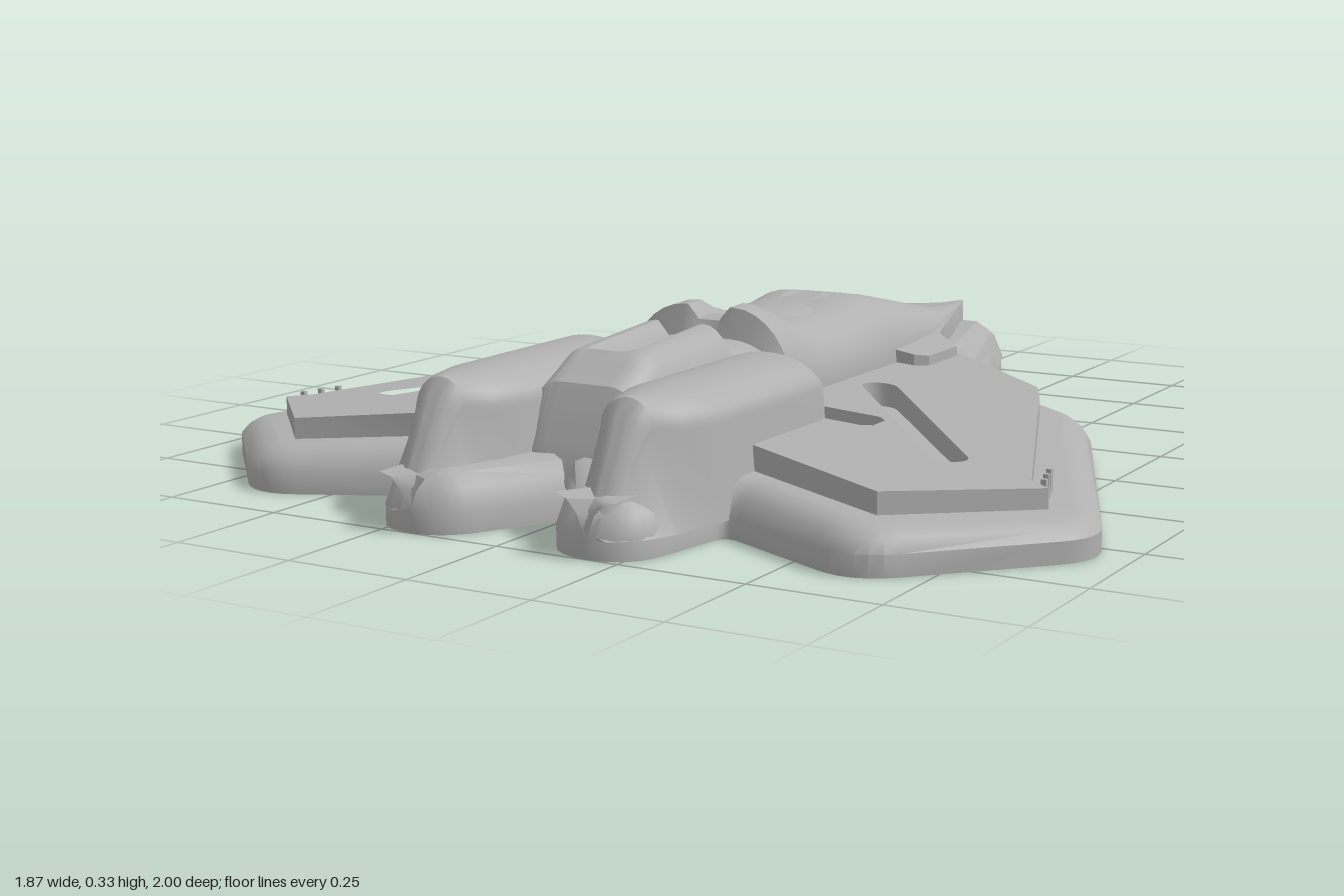
import * as THREE from 'three';
import { toCreasedNormals } from 'three/addons/utils/BufferGeometryUtils.js';

const hull = new THREE.MeshStandardMaterial({ color: 0xb0b0b0 });
hull.name = 'hull grey';

function addMesh(parent, name, geometry, crease = 0.6) {
  const mesh = new THREE.Mesh(toCreasedNormals(geometry, crease), hull);
  mesh.name = name;
  parent.add(mesh);
  return mesh;
}

function fromTriangles(points) {
  const g = new THREE.BufferGeometry();
  g.setAttribute('position', new THREE.Float32BufferAttribute(points.flat(), 3));
  return g;
}

// Skin over symmetric sections; each station is { z, half } with half running from centre to the side.
function loft(stations) {
  const rows = stations.map(({ z, half }) => [
    ...half.slice().reverse().map(([x, y]) => [-x, y, z]),
    ...half.map(([x, y]) => [x, y, z]),
  ]);
  const t = [], n = rows[0].length, last = rows[rows.length - 1];
  for (let j = 0; j < rows.length - 1; j++) {
    for (let i = 0; i < n - 1; i++) {
      const a = rows[j][i], b = rows[j][i + 1], c = rows[j + 1][i], d = rows[j + 1][i + 1];
      t.push(a, c, b, b, c, d);
    }
  }
  for (let i = 1; i < n - 1; i++) {
    t.push(rows[0][0], rows[0][i], rows[0][i + 1]);
    t.push(last[0], last[i + 1], last[i]);
  }
  return fromTriangles(t);
}

// Outline with rounded corners from [x, z, radius] entries
function roundPath(corners) {
  const out = [];
  corners.forEach(([x, z, r], i) => {
    const p = new THREE.Vector2(x, z);
    if (!r) return out.push(p);
    const toward = (q) => new THREE.Vector2(q[0], q[1]).sub(p).setLength(r).add(p);
    const curve = new THREE.QuadraticBezierCurve(toward(corners[i - 1]), p, toward(corners[i + 1]));
    out.push(...curve.getPoints(6));
  });
  return out;
}

const outline = roundPath([
  [0, -1], [0.065, -1, 0.05], [0.29, -0.4, 0.03], [0.62, -0.19, 0.06], [0.955, 0.58, 0.08],
  [0.64, 0.905, 0.09], [0.315, 0.75, 0.04], [0.275, 1, 0.09], [0.12, 1, 0.07], [0, 0.79],
]);

const baseTop = (x) => 0.07 + (0.9 - Math.abs(x)) * 0.055;
const plateTop = (x) => 0.11 + (0.85 - Math.abs(x)) * 0.073;

// One half of the base: upright rim, rounded shoulder and sloping top
function baseHalf(s) {
  const inset = (d) => outline.map((p, i) => {
    if (i === 0) return new THREE.Vector2(0, p.y + d);
    if (i === outline.length - 1) return new THREE.Vector2(0, p.y - d);
    const t = outline[i + 1].clone().sub(p).normalize().add(p.clone().sub(outline[i - 1]).normalize()).normalize();
    return new THREE.Vector2(Math.max(0, p.x - t.y * d), p.y + t.x * d);
  });
  const ring = (d, f) => inset(d).map((p) => [s * p.x, f < 0 ? 0 : 0.04 + (baseTop(p.x) - 0.04) * f, p.y]);
  const rings = [ring(0, -1), ring(0, 0), ring(0.015, 0.55), ring(0.035, 0.88), ring(0.06, 1)];
  const t = [];
  const tri = (a, b, c) => (s > 0 ? t.push(a, b, c) : t.push(a, c, b));
  for (let j = 0; j < rings.length - 1; j++) {
    for (let i = 0; i < outline.length - 1; i++) {
      const a = rings[j][i], b = rings[j][i + 1], c = rings[j + 1][i], d = rings[j + 1][i + 1];
      tri(a, c, b);
      tri(b, c, d);
    }
  }
  const flat = inset(0.06), top = rings[4];
  for (const [a, b, c] of THREE.ShapeUtils.triangulateShape(flat, [])) {
    const up = flat[b].clone().sub(flat[a]).cross(flat[c].clone().sub(flat[a])) < 0;
    if (up) tri(top[a], top[b], top[c]);
    else tri(top[a], top[c], top[b]);
  }
  return fromTriangles(t);
}

// Extrude an (x, z) polygon between a floor and a top height given by a rule
function slab(points, holes, bottom, top) {
  const shape = new THREE.Shape(points);
  shape.holes = holes.map((h) => new THREE.Path(h));
  const g = new THREE.ExtrudeGeometry(shape, { depth: 1, bevelEnabled: false }).rotateX(Math.PI / 2);
  const p = g.attributes.position;
  for (let i = 0; i < p.count; i++) p.setY(i, p.getY(i) > -0.5 ? top(p.getX(i), p.getZ(i)) : bottom);
  return g;
}

// Round-ended slot between two points
function slot(x0, z0, x1, z1, r) {
  const a = Math.atan2(z1 - z0, x1 - x0), pts = [];
  for (let i = 0; i <= 16; i++) {
    const end = i > 8, q = a + Math.PI / 2 + ((end ? i - 1 : i) / 8) * Math.PI;
    pts.push(new THREE.Vector2((end ? x1 : x0) + r * Math.cos(q), (end ? z1 : z0) + r * Math.sin(q)));
  }
  return pts;
}

// Half section of the body: centre ridge, groove g deep, then a rounded shoulder and wall
function bodyHalf(w, ys, yt, g, mid = 0) {
  const k = Math.min(1, w / 0.1);
  const half = [[0, yt - mid], [0.024 * k, yt - mid], [0.03 * k, yt - Math.max(g, mid * 0.7)],
    [0.048 * k, yt - g], [0.055 * k, yt]];
  for (let i = 1; i <= 8; i++) {
    const a = (i / 8) * Math.PI / 2;
    half.push([0.055 * k + (w - 0.055 * k) * Math.sin(a), ys + (yt - ys) * Math.cos(a)]);
  }
  half.push([w, 0.06]);
  return half;
}

export function createModel() {
  const model = new THREE.Group();
  model.name = 'spacecraft';

  // Underside with a round socket
  const whole = [...outline, ...outline.slice(1, -1).reverse().map((p) => new THREE.Vector2(-p.x, p.y))];
  const under = new THREE.Shape(whole);
  under.holes.push(new THREE.Path().absarc(0, 0.2, 0.17, 0, Math.PI * 2, true));
  addMesh(model, 'underside', new THREE.ShapeGeometry(under, 32).rotateX(Math.PI / 2));
  const socket = [[0, 0.2], [0.13, 0.2], [0.17, 0]].map(([x, y]) => new THREE.Vector2(x, y));
  addMesh(model, 'socket', new THREE.LatheGeometry(socket, 32).translate(0, 0, 0.2));

  // Nose block: z, bottom half width, top half width, top height
  const nose = [
    [-0.998, 0.04, 0.01, 0.045], [-0.97, 0.078, 0.03, 0.085], [-0.93, 0.095, 0.04, 0.118],
    [-0.88, 0.112, 0.05, 0.135], [-0.4, 0.287, 0.19, 0.135], [-0.28, 0.29, 0.21, 0.118], [-0.15, 0.27, 0.2, 0.1],
  ];
  addMesh(model, 'nose', loft(nose.map(([z, w, wt, yt]) => ({
    z, half: [[0, yt], [wt, yt], [wt * 0.4 + w * 0.6, yt * 0.7 + 0.015], [w, 0.04]],
  }))));

  // Fuselage: z, half width, wall height, top height, groove depth, centre dip
  const body = [
    [-0.9, 0.004, 0.175, 0.18, 0, 0], [-0.82, 0.03, 0.178, 0.183, 0, 0], [-0.81, 0.034, 0.178, 0.184, 0.012, 0],
    [-0.6, 0.108, 0.178, 0.207, 0.015, 0], [-0.48, 0.15, 0.175, 0.232, 0.015, 0], [-0.4, 0.17, 0.17, 0.25, 0.015, 0],
    [-0.25, 0.186, 0.165, 0.283, 0.015, 0], [-0.15, 0.19, 0.165, 0.298, 0.01, 0], [-0.1, 0.19, 0.165, 0.288, 0, 0],
    [0, 0.19, 0.165, 0.282, 0, 0], [0.12, 0.19, 0.165, 0.285, 0, 0], [0.18, 0.19, 0.165, 0.305, 0, 0.015],
    [0.23, 0.19, 0.165, 0.327, 0, 0.025], [0.28, 0.187, 0.165, 0.325, 0, 0.028], [0.295, 0.18, 0.165, 0.265, 0, 0],
    [0.375, 0.15, 0.165, 0.265, 0, 0], [0.39, 0.13, 0.165, 0.308, 0, 0.03], [0.61, 0.125, 0.17, 0.293, 0, 0.03],
    [0.64, 0.12, 0.17, 0.29, 0, 0], [0.67, 0.12, 0.17, 0.27, 0, 0], [0.72, 0.12, 0.16, 0.24, 0, 0],
    [0.77, 0.1, 0.1, 0.13, 0, 0], [0.785, 0.06, 0.06, 0.07, 0, 0],
  ];
  addMesh(model, 'fuselage', loft(body.map(([z, ...s]) => ({ z, half: bodyHalf(...s) }))));

  // Flush oval canopy
  const canopy = new THREE.SphereGeometry(1, 40, 20).scale(0.125, 0.05, 0.205).translate(0, 0.243, 0.04);
  addMesh(model, 'canopy', canopy);

  // Engine: z, bottom half width, upper half width, wall height, top height
  const engine = [
    [0.37, 0.115, 0.105, 0.2, 0.25], [0.4, 0.125, 0.115, 0.205, 0.268], [0.76, 0.13, 0.112, 0.205, 0.268],
    [0.84, 0.115, 0.085, 0.2, 0.266], [0.885, 0.105, 0.055, 0.2, 0.263], [0.905, 0.1, 0.045, 0.18, 0.235],
    [0.95, 0.08, 0.035, 0.1, 0.145], [0.98, 0.055, 0.025, 0.06, 0.085], [0.998, 0.025, 0.01, 0.04, 0.045],
  ];
  const engineStations = engine.map(([z, wb, wt, ys, yt]) => {
    const half = [];
    for (let i = 0; i <= 8; i++) {
      const a = (i / 8) * Math.PI / 2;
      half.push([wt * Math.sin(a), ys + (yt - ys) * Math.cos(a)]);
    }
    half.push([wb, 0.035]);
    return { z, half };
  });

  const vec = (s) => ([x, z]) => new THREE.Vector2(s * x, z);
  const platePoints = [[0.1, -0.4], [0.26, -0.35], [0.51, -0.17], [0.55, -0.09], [0.8, 0.53],
    [0.845, 0.56], [0.63, 0.785], [0.31, 0.655], [0.1, 0.655]];
  const crossSlot = [[0.22, 0.3], [0.39, 0.3], [0.41, 0.32], [0.41, 0.37], [0.39, 0.385], [0.22, 0.385]];
  const scoopPoints = [[0.12, -0.5], [0.15, -0.49], [0.18, -0.4], [0.255, -0.33], [0.255, -0.19], [0.23, -0.17], [0.12, -0.17]];

  for (const s of [1, -1]) {
    const side = new THREE.Group();
    side.name = s > 0 ? 'leftSide' : 'rightSide';
    model.add(side);
    addMesh(side, 'base', baseHalf(s));

    // Raised wing plate with a diagonal slot and a cross slot
    const diagonal = slot(0.27, 0.065, 0.62, 0.485, 0.036).map((p) => new THREE.Vector2(s * p.x, p.y));
    addMesh(side, 'wingPlate', slab(platePoints.map(vec(s)), [diagonal, crossSlot.map(vec(s))], 0.05, plateTop));

    // Scoop beside the cockpit
    addMesh(side, 'scoop', slab(scoopPoints.map(vec(s)), [], 0.1, (x) => 0.215 - Math.abs(x) * 0.16));

    // Engine with a low rounded intake ahead of it
    addMesh(side, 'engine', loft(engineStations)).position.x = s * 0.2;
    const intake = new THREE.SphereGeometry(1, 24, 12).scale(0.075, 0.1, 0.1).translate(s * 0.2, 0.12, 0.39);
    addMesh(side, 'intake', intake);

    // Small wingtip pins
    for (let i = 0; i < 3; i++) {
      const pin = new THREE.BoxGeometry(0.01, 0.05, 0.01).translate(s * (0.8 + i * 0.012), 0.093, 0.45 + i * 0.04);
      addMesh(side, 'wingtipPin', pin);
    }
  }
  return model;
}
